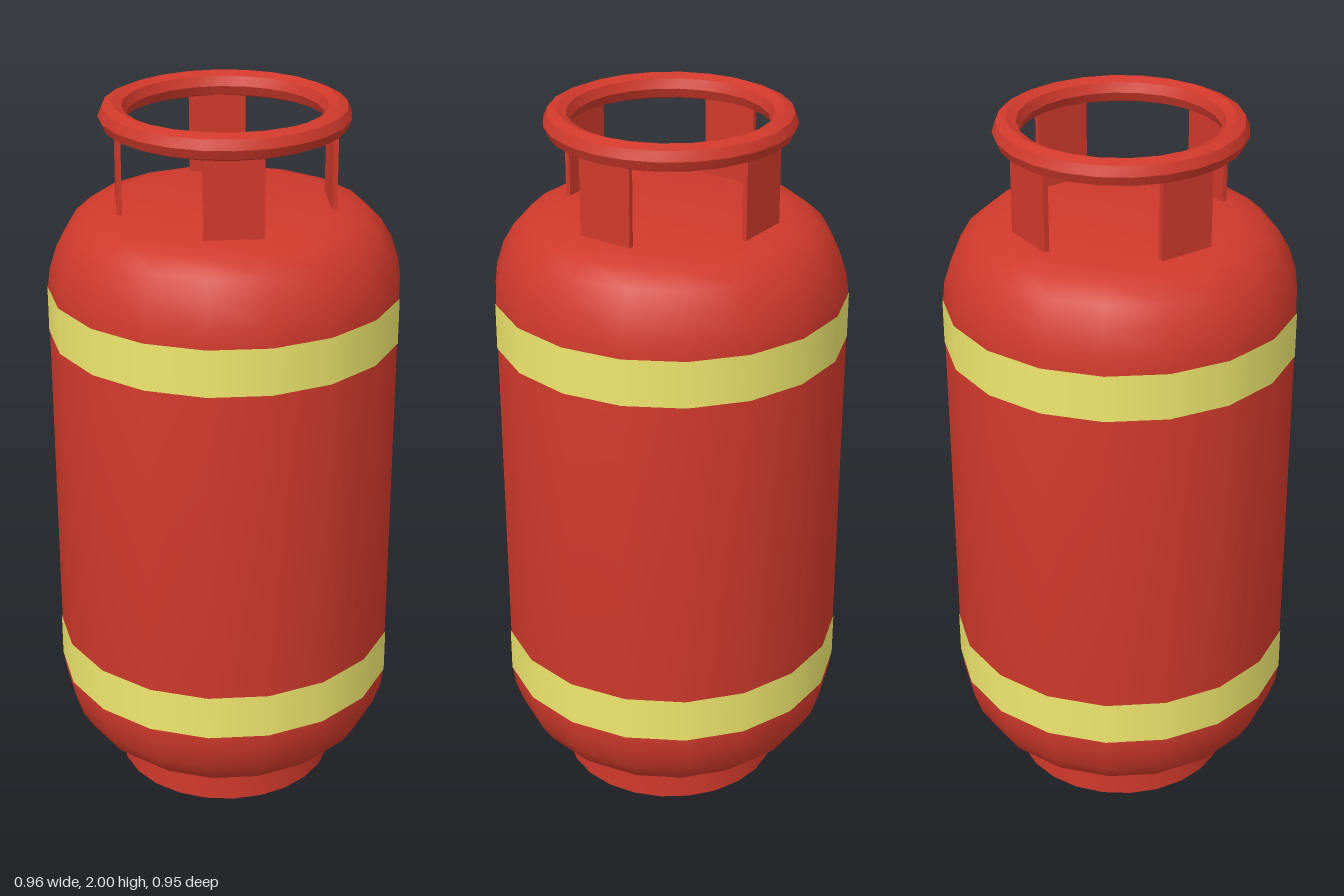
import * as THREE from 'three';
import { toCreasedNormals } from 'three/addons/utils/BufferGeometryUtils.js';

export function createModel() {
  const model = new THREE.Group();
  model.name = 'gasCylinder';
  const red = new THREE.MeshStandardMaterial({ color: 0xd0392b });
  const yellow = new THREE.MeshStandardMaterial({ color: 0xf0e76e });

  const add = (name, geometry, material) => {
    const mesh = new THREE.Mesh(geometry, material);
    mesh.name = name;
    model.add(mesh);
    return mesh;
  };
  // Profiles run upwards on the outside; a corner of the polygon sits on +x
  const lathe = (points, sides) => new THREE.LatheGeometry(
    points.map(([r, y]) => new THREE.Vector2(r, y)), sides, Math.PI / 2);

  // Tank: mirrored shoulder profile about the middle height
  const middle = 0.911;
  const shoulder = [[0.48, 1.495], [0.474, 1.545], [0.453, 1.61], [0.422, 1.662],
    [0.38, 1.70], [0.315, 1.718], [0, 1.718]];
  const underside = shoulder.map(([r, y]) => [r, 2 * middle - y]).reverse();
  add('tank', toCreasedNormals(lathe([...underside, ...shoulder], 18), Math.PI / 5), red);

  // Painted bands, just proud of the tank wall
  for (const [name, y] of [['lowerBand', 0.33], ['upperBand', 1.365]]) {
    add(name, lathe([[0.48, y], [0.482, y], [0.482, y + 0.13], [0.48, y + 0.13]].slice(1, 3), 18), yellow);
  }

  // Hollow foot ring
  const foot = lathe([[0.275, 0.13], [0.275, 0], [0.312, 0], [0.312, 0.13]], 24);
  add('footRing', toCreasedNormals(foot, Math.PI / 6), red);

  // Handle ring with an eight-sided section
  const ring = new THREE.TorusGeometry(0.297, 0.0365, 8, 24).rotateX(Math.PI / 2);
  add('handleRing', toCreasedNormals(ring, Math.PI / 6), red).position.y = 1.9635;

  // Four flat plates carrying the handle ring
  for (let i = 0; i < 4; i++) {
    const plate = new THREE.BoxGeometry(0.014, 0.25, 0.156)
      .translate(0.284, 1.825, 0).rotateY(i * Math.PI / 2);
    add('handlePlate' + (i + 1), plate, red);
  }
  return model;
}
